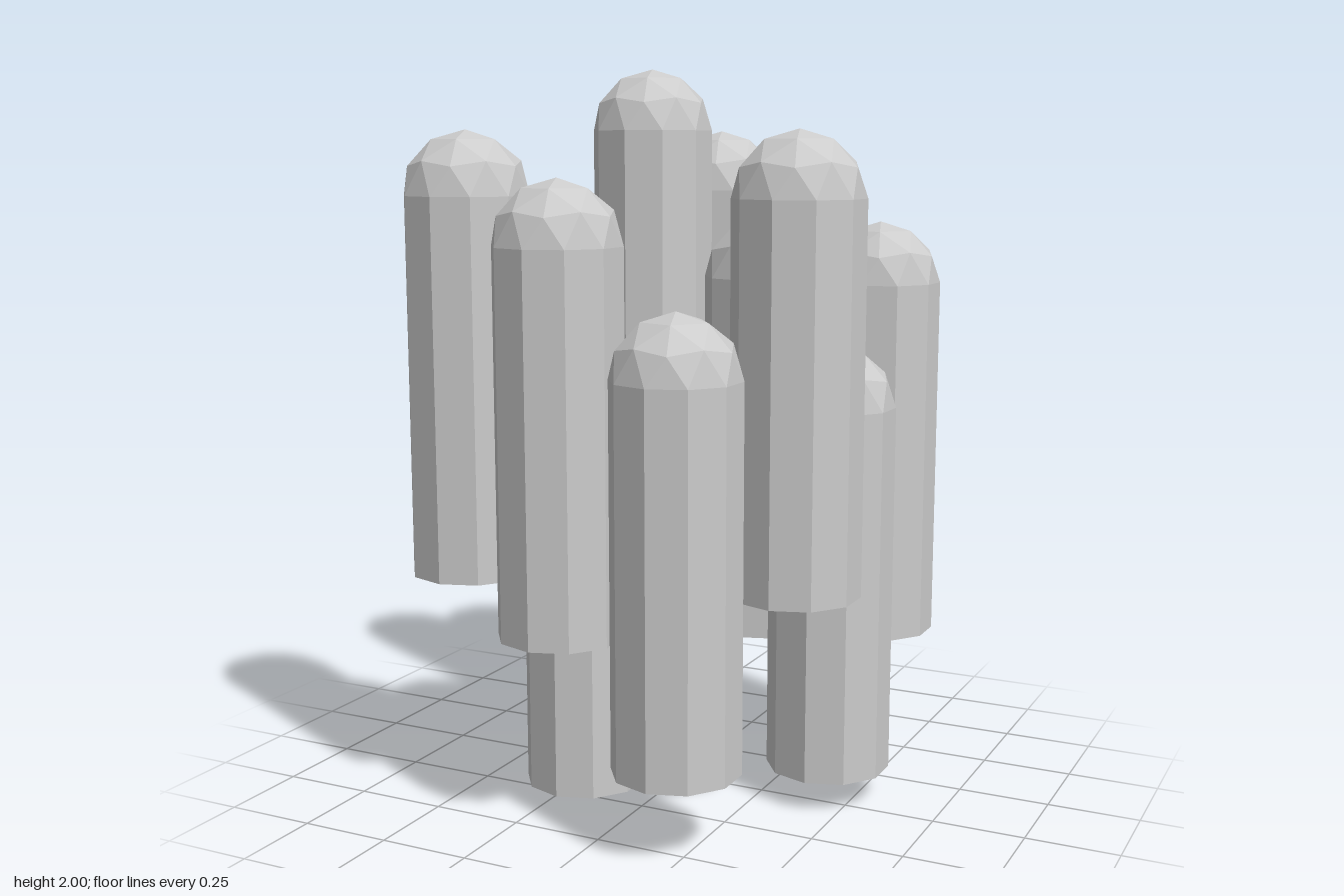
import * as THREE from 'three';

const RADIUS = 0.17;
const SHAFT = 1.01; // height of the straight part below the dome
const SIDES = 10;

// [x, base y, z] of every column
const COLUMNS = [
  [-0.10, 0.65, -0.476],
  [0.425, 0.397, -0.412],
  [-0.184, 0.82, -0.187],
  [0.146, 0.415, -0.233],
  [0.418, 0.085, -0.071],
  [-0.245, 0, 0.126],
  [-0.439, 0.65, 0.386],
  [-0.119, 0.53, 0.468],
  [0.209, 0.21, 0.461],
  [0.44, 0.65, 0.24],
];

// Upper half of a faceted sphere, turned so one vertex points straight up;
// its rim is a decagon that meets the shaft
function domeGeometry() {
  const sphere = new THREE.IcosahedronGeometry(RADIUS, 1);
  sphere.rotateZ(-Math.atan(2 / (1 + Math.sqrt(5))));
  const p = sphere.attributes.position;
  const kept = [];
  for (let i = 0; i < p.count; i += 3) {
    if (p.getY(i) + p.getY(i + 1) + p.getY(i + 2) <= 0) continue;
    for (let k = i; k < i + 3; k++) kept.push(p.getX(k), p.getY(k), p.getZ(k));
  }
  const dome = new THREE.BufferGeometry();
  dome.setAttribute('position', new THREE.Float32BufferAttribute(kept, 3));
  dome.computeVertexNormals();
  return dome;
}

// Ten-sided shaft with a closed flat underside
function shaftGeometry() {
  const profile = [[0, 0], [RADIUS, 0], [RADIUS, SHAFT]].map(([x, y]) => new THREE.Vector2(x, y));
  return new THREE.LatheGeometry(profile, SIDES);
}

export function createModel() {
  const model = new THREE.Group();
  model.name = 'columnCluster';
  const material = new THREE.MeshStandardMaterial({ color: 0xcccccc, flatShading: true });
  const shaftGeo = shaftGeometry();
  const domeGeo = domeGeometry();

  COLUMNS.forEach(([x, y, z], i) => {
    const column = new THREE.Group();
    column.name = `column${i + 1}`;
    const shaft = new THREE.Mesh(shaftGeo, material);
    shaft.name = 'shaft';
    const dome = new THREE.Mesh(domeGeo, material);
    dome.name = 'dome';
    dome.position.y = SHAFT;
    column.add(shaft, dome);
    column.position.set(x, y, z);
    model.add(column);
  });
  return model;
}
